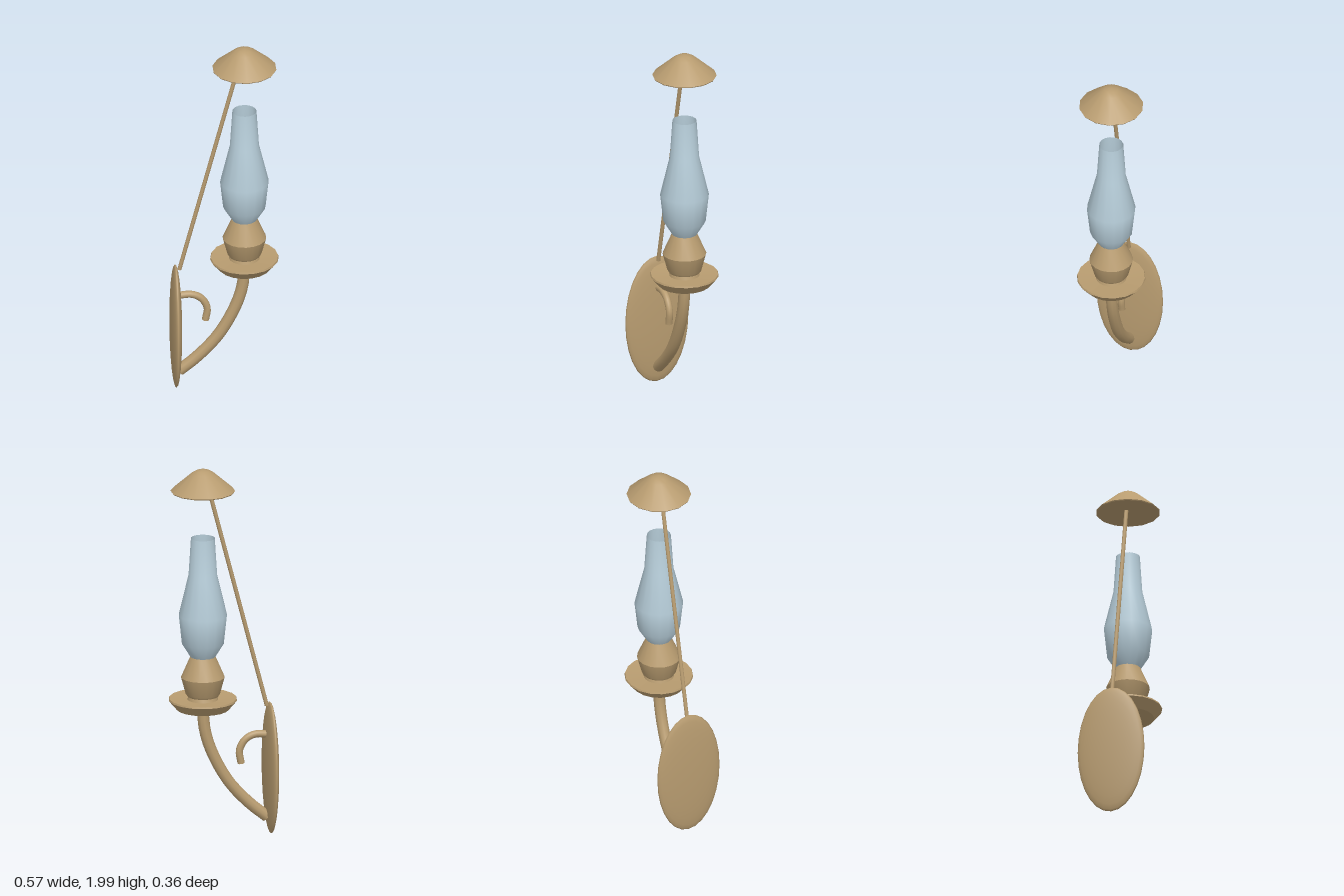
import * as THREE from 'three';
import { toCreasedNormals } from 'three/addons/utils/BufferGeometryUtils.js';

const LAMP_X = 0.104;

export function createModel() {
  const model = new THREE.Group();
  model.name = 'wallLamp';
  const brass = new THREE.MeshStandardMaterial({ color: 0xb89c70 });
  brass.name = 'brass';
  const glass = new THREE.MeshStandardMaterial({ color: 0xb9d0dc, side: THREE.DoubleSide });
  glass.name = 'paleBlueGlass';

  const add = (name, geometry, material = brass) => {
    const mesh = new THREE.Mesh(geometry, material);
    mesh.name = name;
    model.add(mesh);
    return mesh;
  };

  // Turned parts share the lamp axis; profiles run from bottom to top
  const turned = (name, profile, sides, material, phi = 0) => {
    const points = profile.map(([r, y]) => new THREE.Vector2(r, y));
    const geometry = toCreasedNormals(new THREE.LatheGeometry(points, sides, phi), 0.62);
    add(name, geometry, material).position.x = LAMP_X;
  };

  // Bent tubes in the plane z = 0, with capped ends
  const bentTube = (name, path, radius, segments) => {
    const curve = new THREE.CatmullRomCurve3(path.map(([x, y]) => new THREE.Vector3(x, y, 0)));
    add(name, new THREE.TubeGeometry(curve, segments, radius, 10));
    [0, 1].forEach((t) => {
      const cap = add(name + 'End', new THREE.CircleGeometry(radius, 10));
      const direction = curve.getTangentAt(t).multiplyScalar(t ? 1 : -1);
      cap.position.copy(curve.getPointAt(t));
      cap.quaternion.setFromUnitVectors(new THREE.Vector3(0, 0, 1), direction);
    });
  };

  // Oval wall plate, bulging on both faces
  const plate = new THREE.SphereGeometry(1, 28, 14);
  plate.rotateZ(Math.PI / 2);
  plate.scale(0.03, 0.355, 0.179);
  plate.translate(-0.254, 0.363, 0);
  add('wallPlate', plate);

  // Supporting arm and small finger hook
  bentTube('supportArm', [[-0.235, 0.1], [-0.14, 0.18], [-0.03, 0.305], [0.06, 0.475], [0.094, 0.59], [0.104, 0.69]], 0.031, 16);
  bentTube('hook', [[-0.235, 0.546], [-0.17, 0.548], [-0.12, 0.522], [-0.09, 0.465], [-0.099, 0.395]], 0.019, 14);

  // Drip dish, lamp base and open glass chimney
  turned('dripDish', [[0, 0.676], [0.05, 0.68], [0.137, 0.702], [0.179, 0.752], [0.176, 0.761], [0.08, 0.754], [0.07, 0.785]], 18, brass, Math.PI / 2);
  turned('lampBase', [[0, 0.772], [0.082, 0.773], [0.09, 0.785], [0.114, 0.875], [0.066, 0.986], [0, 0.987]], 18, brass);
  turned('glassChimney', [[0.064, 0.984], [0.111, 1.06], [0.127, 1.21], [0.076, 1.425], [0.063, 1.627]], 16, glass);

  // Slanted rod carrying the smoke cap
  const foot = new THREE.Vector3(-0.235, 0.7, 0);
  const top = new THREE.Vector3(0.075, 1.9, 0);
  const rod = add('capRod', new THREE.CylinderGeometry(0.011, 0.011, foot.distanceTo(top), 8));
  rod.position.copy(foot).lerp(top, 0.5);
  rod.quaternion.setFromUnitVectors(new THREE.Vector3(0, 1, 0), top.sub(foot).normalize());

  turned('smokeCap', [[0, 1.879], [0.165, 1.879], [0.168, 1.884], [0.06, 1.978], [0.035, 1.993], [0, 2]], 14, brass);

  return model;
}
